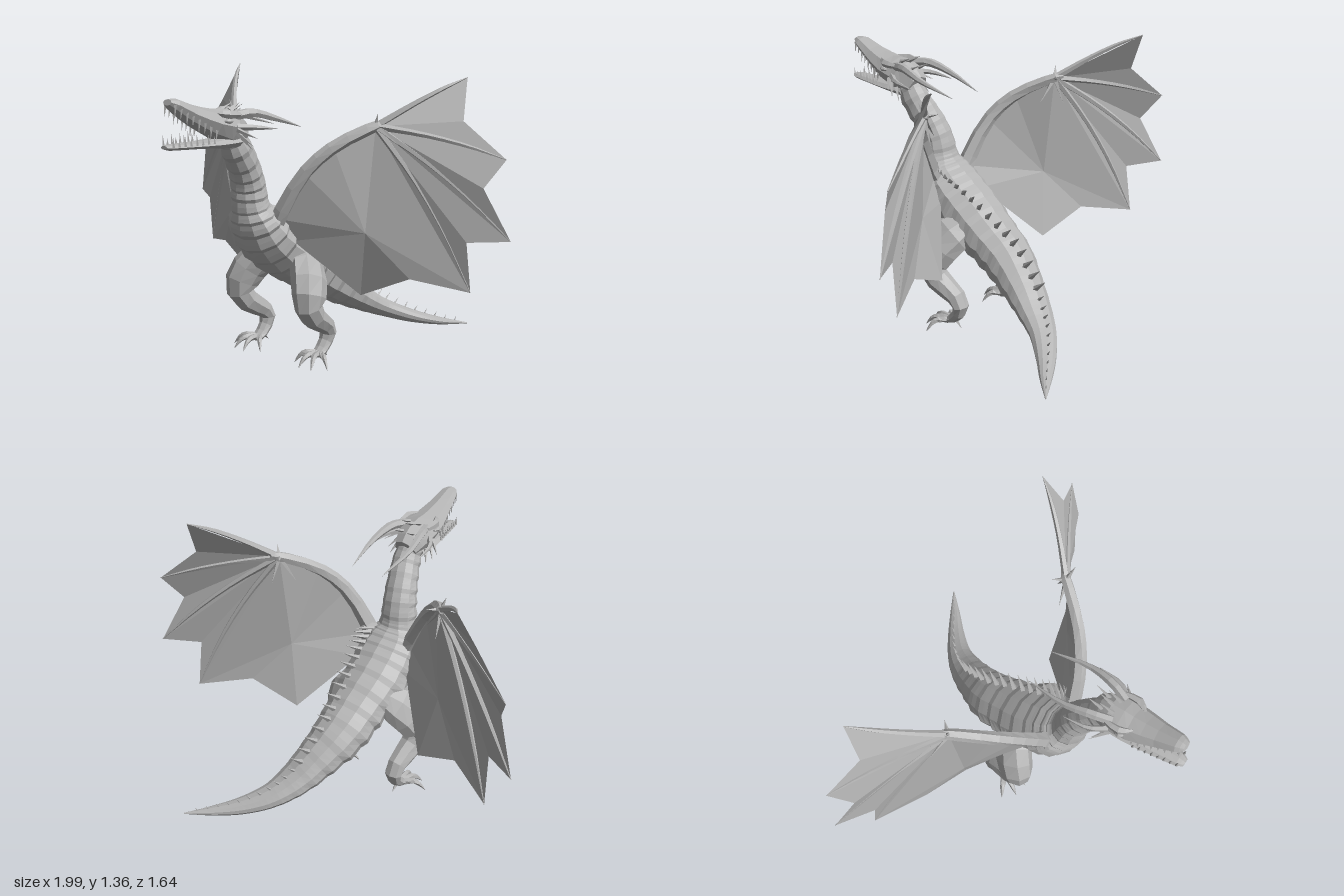
import * as THREE from 'three';

const V = (p) => new THREE.Vector3(p[0], p[1], p[2]);
const X = new THREE.Vector3(1, 0, 0);
const stone = new THREE.MeshStandardMaterial({ color: 0xb4b4b4, flatShading: true, side: THREE.DoubleSide });
stone.name = 'stone grey';

// A path of [x, y, z, halfWidth, halfHeight] stations
function makePath(stations) {
  const centre = new THREE.CatmullRomCurve3(stations.map(V));
  const radii = new THREE.CatmullRomCurve3(stations.map((s) => new THREE.Vector3(s[3], s[4] ?? s[3], 0)));
  return (t) => {
    const p = centre.getPoint(t);
    const T = centre.getTangent(t);
    const N = X.clone().cross(T).normalize();
    const S = T.clone().cross(N);
    const r = radii.getPoint(t);
    return { p, T, N, S, w: Math.max(r.x, 0.0005), h: Math.max(r.y, 0.0005) };
  };
}

// Sweeps an oval section along a path; bump(i, angle) scales each point
function sweep(path, rings, sides, bump = () => 1) {
  const pos = [], idx = [];
  for (let i = 0; i <= rings; i++) {
    const f = path(i / rings);
    for (let j = 0; j < sides; j++) {
      const a = (j / sides) * Math.PI * 2, k = bump(i, a);
      const v = f.p.clone().addScaledVector(f.S, Math.cos(a) * f.w * k).addScaledVector(f.N, Math.sin(a) * f.h * k);
      pos.push(v.x, v.y, v.z);
      if (i < rings) {
        const b = i * sides + j, c = i * sides + ((j + 1) % sides);
        idx.push(b, b + sides, c, c, b + sides, c + sides);
      }
    }
  }
  const last = rings * sides;
  for (let j = 1; j < sides - 1; j++) idx.push(0, j, j + 1, last, last + j + 1, last + j);
  const g = new THREE.BufferGeometry();
  g.setAttribute('position', new THREE.Float32BufferAttribute(pos, 3));
  g.setIndex(idx);
  g.computeVertexNormals();
  return g;
}

function add(parent, name, geometry) {
  const m = new THREE.Mesh(geometry, stone);
  m.name = name;
  parent.add(m);
}
const limb = (parent, name, stations, rings = stations.length - 1, sides = 6) =>
  add(parent, name, sweep(makePath(stations), rings, sides));
const spike = (parent, name, a, b, r) => limb(parent, name, [[...a, r], [...b, 0.0005]], 1, 4);

function buildBody(g) {
  const path = makePath([
    [0.04, 1.14, 0.44, 0.06, 0.06], [0.04, 1.06, 0.395, 0.068, 0.072], [0.02, 0.96, 0.325, 0.078, 0.074],
    [0.005, 0.87, 0.285, 0.085, 0.08], [0, 0.78, 0.268, 0.095, 0.085], [0, 0.72, 0.245, 0.14, 0.105],
    [0, 0.64, 0.185, 0.16, 0.13], [0, 0.55, 0.075, 0.162, 0.135], [0.01, 0.46, -0.06, 0.15, 0.125],
    [0.02, 0.375, -0.19, 0.135, 0.115], [0.06, 0.285, -0.32, 0.11, 0.09], [0.11, 0.205, -0.44, 0.09, 0.062],
    [0.17, 0.15, -0.54, 0.068, 0.045], [0.27, 0.105, -0.64, 0.048, 0.033], [0.38, 0.08, -0.73, 0.028, 0.02],
    [0.49, 0.07, -0.82, 0.003, 0.003],
  ]);
  // overlapping belly plates from the throat to the tail root
  add(g, 'body', sweep(path, 75, 12, (i, a) => {
    const plate = (i % 3) / 2 - 0.5;
    const fade = i < 46 ? 1 : Math.max(0, 1 - (i - 46) / 16);
    return 1 + fade * plate * (Math.sin(a) < 0.3 ? 0.09 : 0.035);
  }));
  // spines: tall along one side of the back, small along the tail
  for (let k = 0; k < 28; k++) {
    const t = 0.3 + (k / 27) * 0.67, f = path(t);
    const lean = THREE.MathUtils.lerp(0.85, 0, Math.min(1, (t - 0.3) / 0.4));
    const size = t < 0.7 ? 0.085 : THREE.MathUtils.lerp(0.05, 0.018, (t - 0.7) / 0.27);
    const out = f.N.clone().multiplyScalar(Math.cos(lean)).addScaledVector(f.S, Math.sin(lean));
    const base = f.p.clone().addScaledVector(f.N, Math.cos(lean) * f.h * 0.94).addScaledVector(f.S, Math.sin(lean) * f.w * 0.94);
    const tip = base.clone().addScaledVector(out, size).addScaledVector(f.T, size * 0.3);
    spike(g, 'backSpine', base.toArray(), tip.toArray(), size * 0.17);
  }
}

function buildHead(g) {
  const cx = 0.04;
  limb(g, 'skull', [
    [cx, 1.12, 0.38, 0.06, 0.06], [cx, 1.165, 0.46, 0.09, 0.078], [cx, 1.19, 0.56, 0.088, 0.062],
    [cx, 1.238, 0.68, 0.062, 0.042], [cx, 1.283, 0.765, 0.045, 0.028], [cx, 1.295, 0.797, 0.026, 0.014],
  ], 10, 8);
  limb(g, 'lowerJaw', [
    [cx, 1.1, 0.43, 0.075, 0.035], [cx, 1.098, 0.54, 0.072, 0.022], [cx, 1.102, 0.68, 0.054, 0.016],
    [cx, 1.106, 0.79, 0.036, 0.014], [cx, 1.108, 0.82, 0.02, 0.008],
  ], 8, 8);
  for (const s of [1, -1]) {
    const P = (x, y, z, ...r) => [cx + s * x, y, z, ...r];
    limb(g, 'longHorn', [P(0.055, 1.215, 0.47, 0.022), P(0.085, 1.225, 0.38, 0.021), P(0.105, 1.19, 0.25, 0.014), P(0.085, 1.135, 0.06, 0.001)], 8, 6);
    limb(g, 'sideHorn', [P(0.08, 1.17, 0.47, 0.016), P(0.125, 1.165, 0.4, 0.012), P(0.14, 1.15, 0.28, 0.001)], 5, 5);
    limb(g, 'browRidge', [P(0.05, 1.235, 0.57, 0.006), P(0.08, 1.228, 0.52, 0.02), P(0.075, 1.222, 0.45, 0.012)], 4, 5);
    limb(g, 'eye', [P(0.08, 1.2, 0.545, 0.004), P(0.088, 1.2, 0.525, 0.013), P(0.085, 1.198, 0.5, 0.004)], 4, 6);
    // cheek and crown spikes
    spike(g, 'cheekSpike', P(0.085, 1.14, 0.47), P(0.13, 1.085, 0.42), 0.012);
    spike(g, 'cheekSpike', P(0.08, 1.12, 0.44), P(0.105, 1.065, 0.4), 0.011);
    spike(g, 'cheekSpike', P(0.09, 1.16, 0.48), P(0.155, 1.12, 0.42), 0.012);
    spike(g, 'crownSpike', P(0.03, 1.235, 0.46), P(0.035, 1.262, 0.39), 0.01);
    spike(g, 'crownSpike', P(0.03, 1.2, 0.41), P(0.035, 1.235, 0.33), 0.01);
    // teeth in both jaws
    for (let i = 0; i < 8; i++) {
      const u = i / 7, len = 0.022 + 0.014 * (i % 2);
      const z = 0.58 + u * 0.2, w = 0.07 - u * 0.038, y = 1.145 + u * 0.12;
      spike(g, 'upperTooth', P(w, y + 0.02, z), P(w, y - len, z + 0.006), 0.008);
      spike(g, 'lowerTooth', P(w, 1.108, z + 0.015), P(w, 1.118 + len, z + 0.018), 0.007);
    }
  }
  spike(g, 'crownSpike', [cx, 1.235, 0.44], [cx, 1.265, 0.37], 0.012);
}

function buildLeg(g, s) {
  const P = (x, y, z, ...r) => [s * x, y, z, ...r];
  limb(g, 'leg', [
    P(0.1, 0.51, 0.02, 0.06, 0.08), P(0.165, 0.46, 0.055, 0.075, 0.105), P(0.215, 0.37, 0.1, 0.075, 0.1),
    P(0.225, 0.3, 0.115, 0.062, 0.07), P(0.215, 0.235, 0.06, 0.06, 0.056), P(0.205, 0.195, -0.015, 0.05, 0.048),
    P(0.2, 0.14, -0.055, 0.045, 0.036), P(0.198, 0.085, -0.03, 0.034, 0.03), P(0.198, 0.05, 0.015, 0.036, 0.022),
    P(0.198, 0.045, 0.04, 0.022, 0.014),
  ], 12, 8);
  // spread toes ending in claws, plus a hind claw
  for (const [dx, dz] of [[-0.085, 0.075], [-0.015, 0.125], [0.055, 0.115], [0.11, 0.06]]) {
    limb(g, 'toe', [
      P(0.198 + dx * 0.1, 0.05, 0.015, 0.017), P(0.198 + dx * 0.5, 0.055, 0.015 + dz * 0.5, 0.015),
      P(0.198 + dx * 0.75, 0.04, 0.015 + dz * 0.75, 0.011), P(0.198 + dx, 0.003, 0.015 + dz, 0.001),
    ], 6, 5);
  }
  spike(g, 'hindClaw', P(0.198, 0.06, -0.015), P(0.195, 0.02, -0.055), 0.013);
}

function buildWing(g, s) {
  const P = (p, ...r) => [s * p[0], p[1], p[2], ...r];
  const shoulder = [0.11, 0.72, 0.2], arm1 = [0.23, 0.94, 0.155], arm2 = [0.33, 1.06, 0.07], wrist = [0.45, 1.15, -0.08];
  const tips = [[0.72, 1.365, -0.4], [0.95, 1.015, -0.38], [0.995, 0.652, -0.368], [0.84, 0.403, -0.295]];
  const notches = [[0.765, 1.178, -0.31], [0.89, 0.89, -0.295], [0.83, 0.64, -0.265], [0.6, 0.452, -0.155]];
  const inner = [0.365, 0.345, -0.095], root = [0.14, 0.61, 0.13], hollow = [0.43, 0.66, -0.04];

  limb(g, 'wingArm', [
    P([0.08, 0.66, 0.19], 0.045), P(shoulder, 0.042), P(arm1, 0.033), P(arm2, 0.03), P(wrist, 0.026),
    P([0.475, 1.162, -0.115], 0.01),
  ], 12, 6);
  tips.forEach((tip, i) => {
    const bow = [0.03, 0.015, 0.02, 0.025][i];
    const at = (u, lift) => [0, 1, 2].map((k) => wrist[k] + (tip[k] - wrist[k]) * u + [lift, lift, -0.012][k]);
    limb(g, 'wingFinger', [P(wrist, 0.017), P(at(0.33, bow * 0.8), 0.013), P(at(0.66, bow * 0.8), 0.01), P(tip, 0.002)], 8, 5);
  });

  // membrane: two panels between neighbouring fingers, then a fan round the inner hollow
  const tris = [];
  for (let i = 0; i < 3; i++) tris.push(wrist, tips[i], notches[i], wrist, notches[i], tips[i + 1]);
  const rim = [wrist, tips[3], notches[3], inner, root, shoulder, arm1, arm2, wrist];
  for (let i = 0; i < rim.length - 1; i++) tris.push(hollow, rim[i], rim[i + 1]);
  const skin = new THREE.BufferGeometry().setFromPoints(tris.map((p) => V(P(p))));
  skin.computeVertexNormals();
  add(g, 'wingMembrane', skin);

  // wrist claws
  for (const [x, y, z] of [[0.02, 0.06, 0.01], [0.11, -0.075, -0.02], [-0.08, -0.11, 0.02], [0.01, -0.12, -0.05], [-0.04, 0.01, -0.05]])
    spike(g, 'wristClaw', P(wrist), P([wrist[0] + x, wrist[1] + y, wrist[2] + z]), 0.014);
}

export function createModel() {
  const model = new THREE.Group();
  model.name = 'dragon';
  const part = (name, build, ...args) => {
    const g = new THREE.Group();
    g.name = name;
    build(g, ...args);
    model.add(g);
  };
  part('bodyAndTail', buildBody);
  part('head', buildHead);
  for (const [side, s] of [['left', 1], ['right', -1]]) {
    part(side + 'Leg', buildLeg, s);
    part(side + 'Wing', buildWing, s);
  }
  return model;
}
